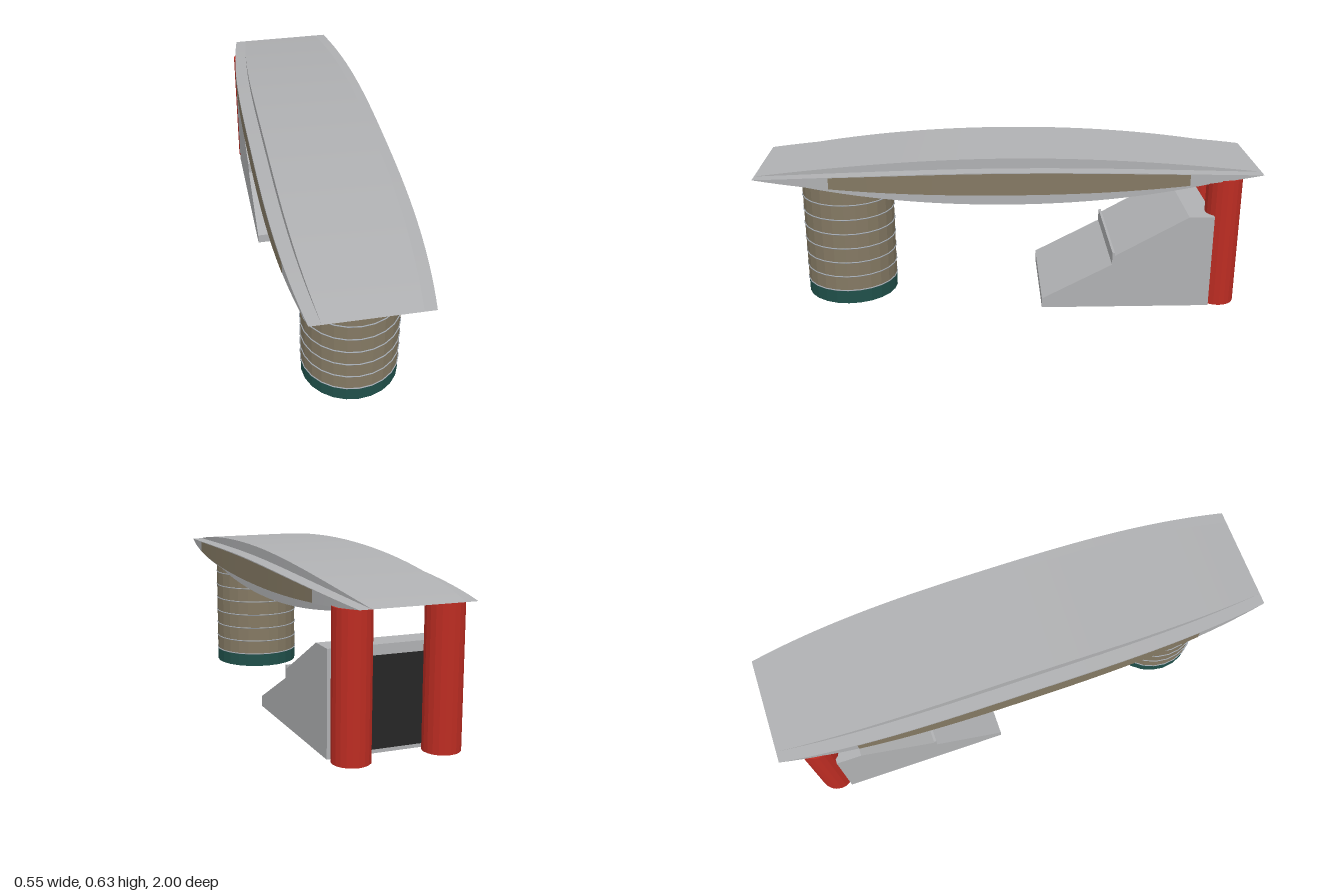
import * as THREE from 'three';
import { mergeGeometries } from 'three/addons/utils/BufferGeometryUtils.js';

const mat = (name, color, opts = {}) => {
  const m = new THREE.MeshStandardMaterial({ color, ...opts });
  m.name = name;
  return m;
};

// Strip swept along z between two edge functions z -> [x, y]
function strip(a, b, z0, z1, n) {
  const pos = [], idx = [];
  for (let i = 0; i <= n; i++) {
    const z = z0 + (z1 - z0) * i / n;
    pos.push(...a(z), z, ...b(z), z);
    if (i < n) {
      const k = i * 2;
      idx.push(k, k + 1, k + 2, k + 1, k + 3, k + 2);
    }
  }
  const g = new THREE.BufferGeometry();
  g.setAttribute('position', new THREE.Float32BufferAttribute(pos, 3));
  g.setIndex(idx);
  g.computeVertexNormals();
  return g;
}

// Corner of a lens-shaped body that tapers to a horizontal edge at both ends
const TIP_Y = 0.55;
const corner = (sx, halfWidth, taper, rise) => z => [
  sx * (halfWidth - taper * Math.abs(z) ** 3),
  TIP_Y + rise * (1 - z * z),
];

function lens(halfWidth, taper, up, down) {
  const c = [[1, up], [-1, up], [-1, -down], [1, -down]]
    .map(([s, r]) => corner(s, halfWidth, taper, r));
  return mergeGeometries(c.map((p, i) => strip(p, c[(i + 1) % 4], -1, 1, 40)));
}

export function createModel() {
  const group = new THREE.Group();
  const grey = mat('lightGrey', 0xb0b1b3, { side: THREE.DoubleSide });
  const taupe = mat('taupe', 0x847963, { flatShading: true });
  const metal = mat('ringMetal', 0xa6adb5);
  const green = mat('darkGreen', 0x20504a, { flatShading: true });
  const red = mat('red', 0xbc2c22, { flatShading: true });
  const dark = mat('charcoal', 0x262626, { side: THREE.DoubleSide });

  const add = (name, geo, material, x = 0, y = 0, z = 0) => {
    const m = new THREE.Mesh(geo, material);
    m.name = name;
    m.position.set(x, y, z);
    group.add(m);
    return m;
  };

  // Roof: tall central lens and a flatter, wider one
  add('roofCore', lens(0.217, 0.047, 0.08, 0.11), grey);
  add('roofWings', lens(0.272, 0.058, 0.04, 0.055), grey);

  // Window bands along both sides
  const hi = s => corner(s, 0.2735, 0.058, 0.037);
  const lo = s => corner(s, 0.2735, 0.058, -0.051);
  add('leftWindows', strip(lo(1), hi(1), -0.7, 0.7, 28), taupe);
  add('rightWindows', strip(hi(-1), lo(-1), -0.7, 0.7, 28), taupe);

  // Front drum with base and rings
  const R = 0.185, DZ = 0.66, BASE = 0.058, TOP = 0.525;
  add('drum', new THREE.CylinderGeometry(R, R, TOP - BASE, 24), taupe, 0, (TOP + BASE) / 2, DZ);
  add('drumBase', new THREE.CylinderGeometry(R, R, BASE, 24), green, 0, BASE / 2, DZ);
  for (let i = 0; i < 8; i++) {
    const ring = add('drumRing', new THREE.TorusGeometry(R + 0.001, 0.0025, 6, 24), metal, 0, BASE + i * 0.0617, DZ);
    ring.rotation.x = Math.PI / 2;
  }

  // Rear columns
  for (const s of [-1, 1]) {
    add(s > 0 ? 'leftColumn' : 'rightColumn',
      new THREE.CylinderGeometry(0.07, 0.07, 0.537, 20), red, s * 0.173, 0.2685, -0.855);
  }

  // Stepped ramp: hollow shell open underneath, profile as [z, y]
  const W = 0.243, BACK = -0.81;
  const profile = [[-0.13, 0], [-0.13, 0.04], [-0.41, 0.187], [-0.41, 0.238],
    [-0.42, 0.238], [-0.42, 0.225], [-0.71, 0.387], [BACK, 0.387]];
  const sheet = (name, [z0, y0], [z1, y1], material = grey, width = 2 * W) => {
    const g = new THREE.PlaneGeometry(width, Math.hypot(z1 - z0, y1 - y0));
    g.rotateX(Math.atan2(z1 - z0, y1 - y0));
    return add(name, g, material, 0, (y0 + y1) / 2, (z0 + z1) / 2);
  };
  for (let i = 0; i < profile.length - 1; i++) sheet('rampSurface', profile[i], profile[i + 1]);
  sheet('rampPartition', [-0.41, 0], [-0.41, 0.187]);
  sheet('rampBack', [BACK, 0], [BACK, 0.387]);
  sheet('rampBackPanel', [BACK - 0.003, 0.015], [BACK - 0.003, 0.35], dark, 0.46);

  const side = new THREE.Shape([...profile, [BACK, 0]].map(([z, y]) => new THREE.Vector2(-z, y)));
  for (const s of [-1, 1]) {
    const g = new THREE.ShapeGeometry(side);
    g.rotateY(Math.PI / 2);
    add(s > 0 ? 'leftRampWall' : 'rightRampWall', g, grey, s * W, 0, 0);
  }
  return group;
}
